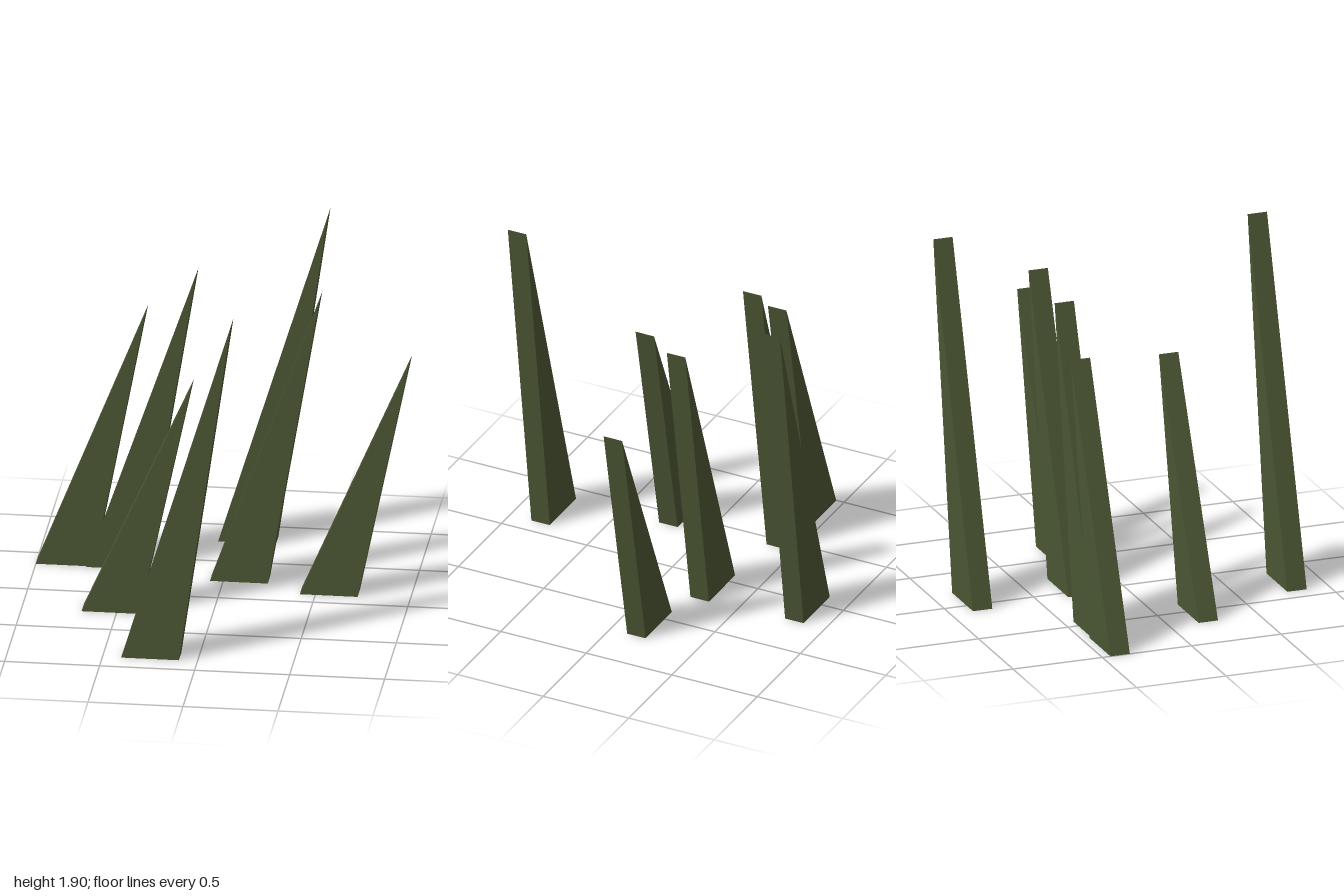
import * as THREE from 'three';

const BASE = 0.304;  // width of a blade at the ground
const LEAN = 0.578;  // sideways reach of the tip
const DEPTH = 0.108; // thickness front to back

// left foot x, centre z, height of each blade
const BLADES = [
  [-1.0, -0.4, 1.45],
  [-0.734, -0.388, 1.675],
  [-0.684, 0.215, 1.297],
  [-0.402, 0.82, 1.902],
  [-0.092, -0.82, 1.87],
  [-0.069, -0.278, 1.62],
  [0.419, -0.154, 1.337],
];

// Leaning triangular blade with a sharp top edge
function bladeGeometry(height) {
  const shape = new THREE.Shape();
  shape.moveTo(0, 0);
  shape.lineTo(BASE, 0);
  shape.lineTo(LEAN, height);
  shape.closePath();
  const geometry = new THREE.ExtrudeGeometry(shape, { depth: DEPTH, bevelEnabled: false });
  return geometry.translate(0, 0, -DEPTH / 2);
}

export function createModel() {
  const group = new THREE.Group();
  group.name = 'grassTuft';
  const olive = new THREE.MeshStandardMaterial({ color: 0x4a5533 });
  olive.name = 'olive green';

  BLADES.forEach(([x, z, height], i) => {
    const blade = new THREE.Mesh(bladeGeometry(height), olive);
    blade.name = `grassBlade${i + 1}`;
    blade.position.set(x, 0, z);
    group.add(blade);
  });
  return group;
}
